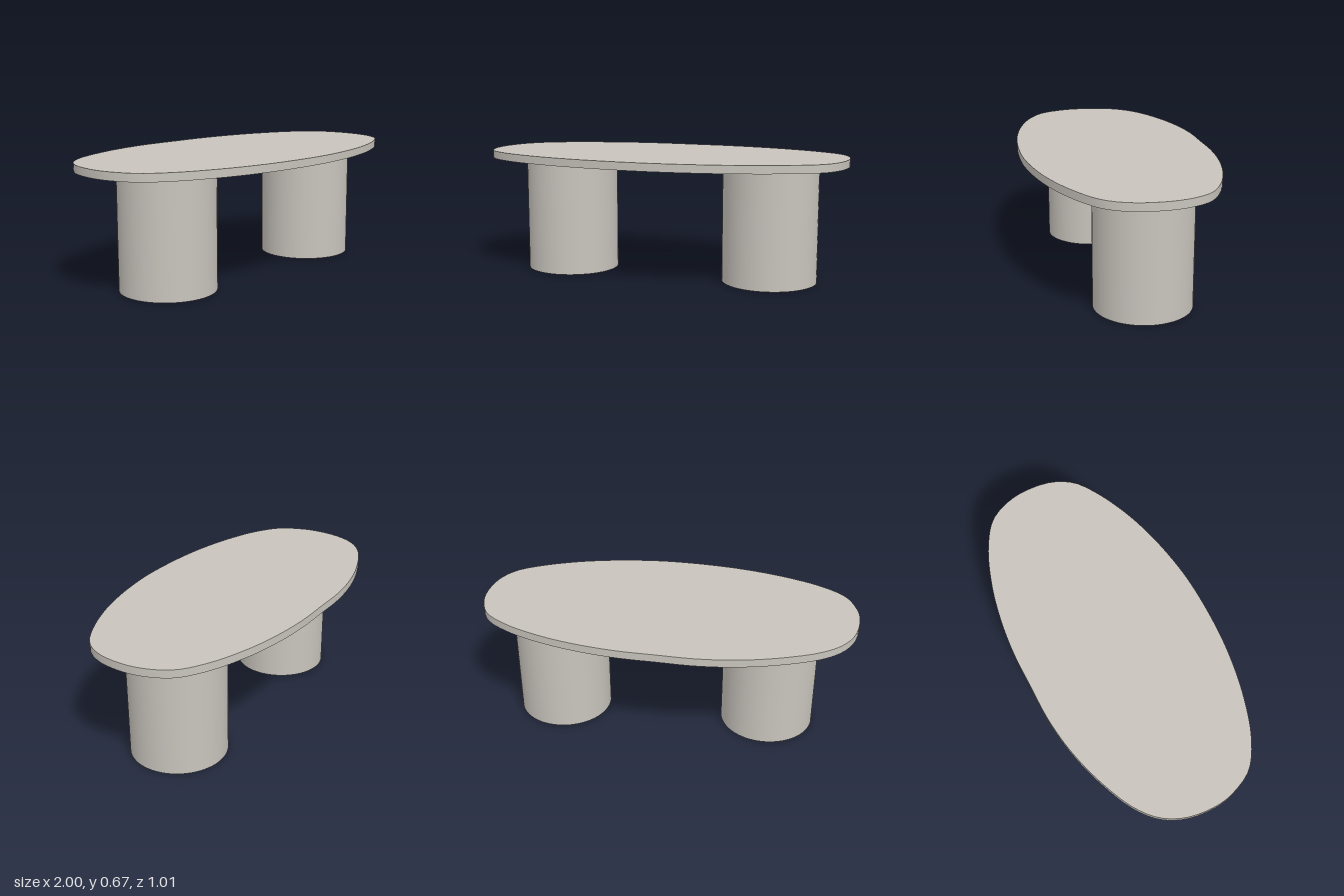
import * as THREE from 'three';
import { toCreasedNormals } from 'three/addons/utils/BufferGeometryUtils.js';

const LEG_RADIUS = 0.253, TOP_BOTTOM = 0.625, TOP_THICKNESS = 0.042;

// Soft, slightly irregular oval of the tabletop as x, z pairs
const OUTLINE = [
  [-1, 0], [-0.975, -0.17], [-0.91, -0.285], [-0.8, -0.37], [-0.6, -0.447], [-0.4, -0.492],
  [-0.2, -0.508], [0, -0.499], [0.2, -0.487], [0.4, -0.455], [0.6, -0.4], [0.8, -0.313],
  [0.93, -0.215], [0.985, -0.1], [1, 0.02], [0.975, 0.17], [0.91, 0.275], [0.8, 0.347],
  [0.6, 0.427], [0.4, 0.475], [0.2, 0.5], [0.05, 0.505], [-0.2, 0.488], [-0.4, 0.455],
  [-0.6, 0.4], [-0.8, 0.315], [-0.93, 0.215], [-0.98, 0.11],
];

export function createModel() {
  const group = new THREE.Group();
  group.name = 'table';
  const stone = new THREE.MeshStandardMaterial({ color: 0xc8c3bc });
  stone.name = 'warm grey stone';

  // Tabletop: smooth closed curve extruded upward
  const curve = new THREE.CatmullRomCurve3(
    OUTLINE.map(([x, z]) => new THREE.Vector3(x, -z, 0)), true);
  const rim = curve.getSpacedPoints(120).slice(0, -1).map(p => new THREE.Vector2(p.x, p.y));
  const slab = new THREE.ExtrudeGeometry(new THREE.Shape(rim), {
    depth: TOP_THICKNESS, bevelEnabled: false,
  });
  slab.rotateX(-Math.PI / 2);
  const top = new THREE.Mesh(toCreasedNormals(slab, Math.PI / 5), stone);
  top.name = 'tabletop';
  top.position.y = TOP_BOTTOM;
  group.add(top);

  // Two thick cylindrical legs
  const legGeometry = new THREE.CylinderGeometry(LEG_RADIUS, LEG_RADIUS, TOP_BOTTOM, 64);
  for (const [name, x] of [['rightLeg', -0.55], ['leftLeg', 0.592]]) {
    const leg = new THREE.Mesh(legGeometry, stone);
    leg.name = name;
    leg.position.set(x, TOP_BOTTOM / 2, 0);
    group.add(leg);
  }
  return group;
}
